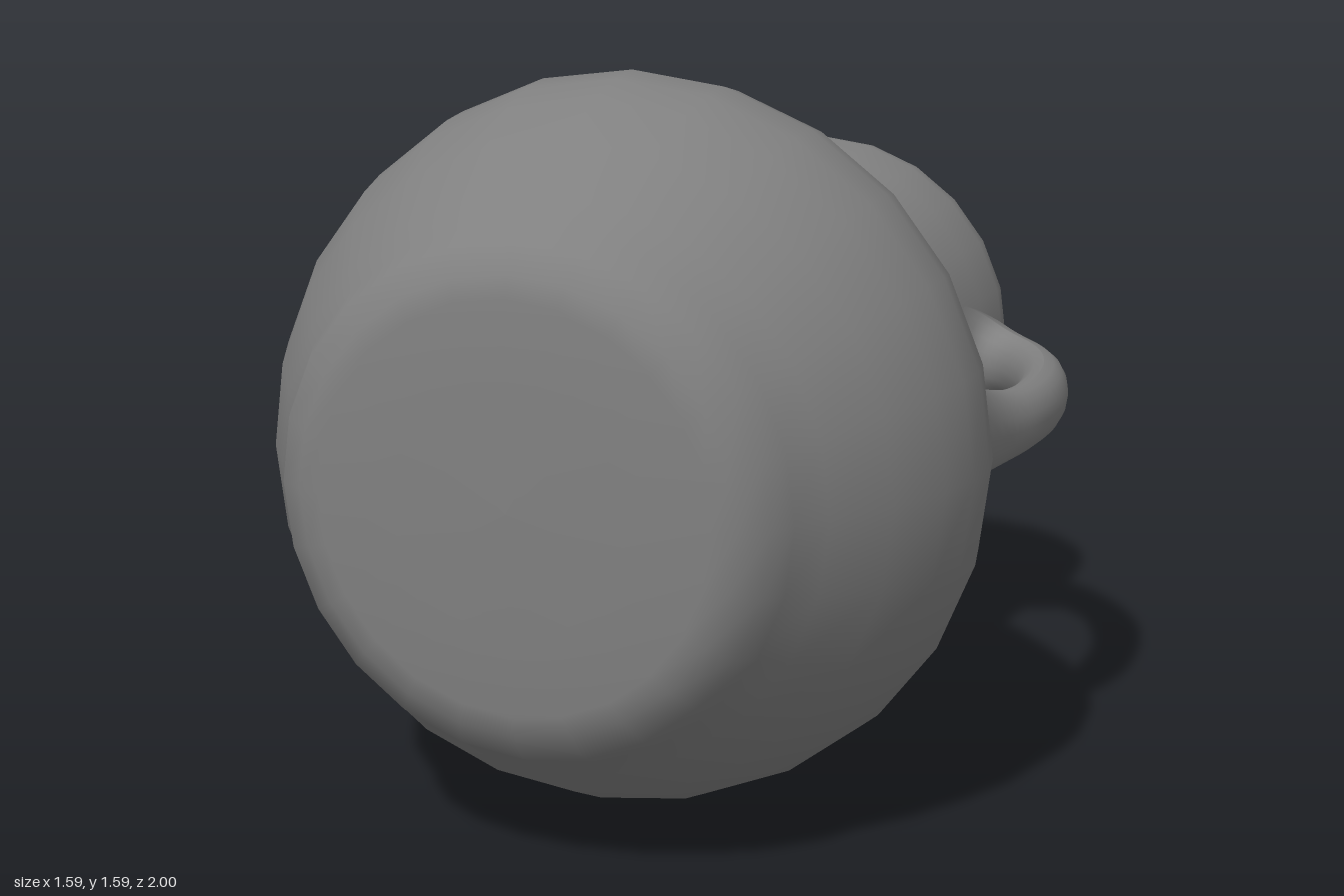
import * as THREE from 'three';

const AXIS_Y = 0.795;

// Jug lying on its side: base towards +z, mouth towards -z, with a hollow inside the mouth
function makeBody(material) {
  // [radius, z] from the centre of the base, over the rim, to the bottom of the hollow
  const profile = [
    [0, 0.995], [0.25, 0.99], [0.42, 0.98], [0.468, 0.968], [0.525, 0.93], [0.552, 0.87],
    [0.6, 0.8], [0.69, 0.67], [0.755, 0.53], [0.783, 0.42], [0.793, 0.33], [0.772, 0.23],
    [0.72, 0.13], [0.63, 0], [0.53, -0.13], [0.445, -0.26], [0.418, -0.37], [0.428, -0.5],
    [0.457, -0.67], [0.48, -0.8], [0.494, -0.92], [0.486, -0.98], [0.475, -1],
    [0.465, -0.98], [0.435, -0.85], [0.4, -0.68], [0.37, -0.48], [0.32, -0.3], [0.2, -0.19], [0, -0.15],
  ].map(([r, z]) => new THREE.Vector2(r, -z));
  const geometry = new THREE.LatheGeometry(profile, 24);
  geometry.rotateX(-Math.PI / 2);
  // The axis leans slightly away from the handle towards the mouth
  const pos = geometry.attributes.position;
  for (let i = 0; i < pos.count; i++) {
    pos.setX(i, pos.getX(i) - 0.01 + 0.007 * pos.getZ(i));
  }
  const body = new THREE.Mesh(geometry, material);
  body.name = 'jugBody';
  return body;
}

// Curved handle, wider than thick, flaring and blending into the wall at both ends
function makeHandle(material) {
  const path = new THREE.CatmullRomCurve3([
    [0.415, -0.72], [0.5, -0.71], [0.585, -0.655], [0.66, -0.55], [0.712, -0.4],
    [0.73, -0.23], [0.712, -0.08], [0.65, 0.03], [0.55, 0.085],
  ].map(([x, z]) => new THREE.Vector3(x, 0, z)));
  const steps = 48, sides = 16;
  const geometry = new THREE.TubeGeometry(path, steps, 0.058, sides);
  const pos = geometry.attributes.position;
  const p = new THREE.Vector3();
  const rings = [];
  for (let i = 0; i <= steps; i++) {
    const t = i / steps;
    const centre = path.getPointAt(t);
    const upper = Math.exp(-((t / 0.1) ** 2));
    const lower = Math.exp(-(((1 - t) / 0.15) ** 2));
    const flare = 1 + 0.75 * upper + 0.75 * lower;
    rings.push({ upper, lower });
    for (let j = 0; j <= sides; j++) {
      const k = i * (sides + 1) + j;
      p.fromBufferAttribute(pos, k).sub(centre).multiplyScalar(flare);
      p.y *= 1.25;
      p.add(centre);
      pos.setXYZ(k, p.x, p.y, p.z);
    }
  }
  geometry.computeVertexNormals();
  // Turn the end normals towards those of the wall so the joints look soft
  const normal = geometry.attributes.normal;
  const wall = new THREE.Vector3();
  for (let k = 0; k < pos.count; k++) {
    const { upper, lower } = rings[Math.floor(k / (sides + 1))];
    wall.set(pos.getX(k), pos.getY(k), 0).normalize();
    wall.z = upper > lower ? 0.15 : -0.8;
    p.fromBufferAttribute(normal, k).lerp(wall.normalize(), Math.max(upper, lower)).normalize();
    normal.setXYZ(k, p.x, p.y, p.z);
  }
  const handle = new THREE.Mesh(geometry, material);
  handle.name = 'handle';
  return handle;
}

export function createModel() {
  const material = new THREE.MeshStandardMaterial({ color: 0x808080 });
  const jug = new THREE.Group();
  jug.name = 'jug';
  jug.add(makeBody(material), makeHandle(material));
  jug.position.y = AXIS_Y;
  const model = new THREE.Group();
  model.add(jug);
  return model;
}
